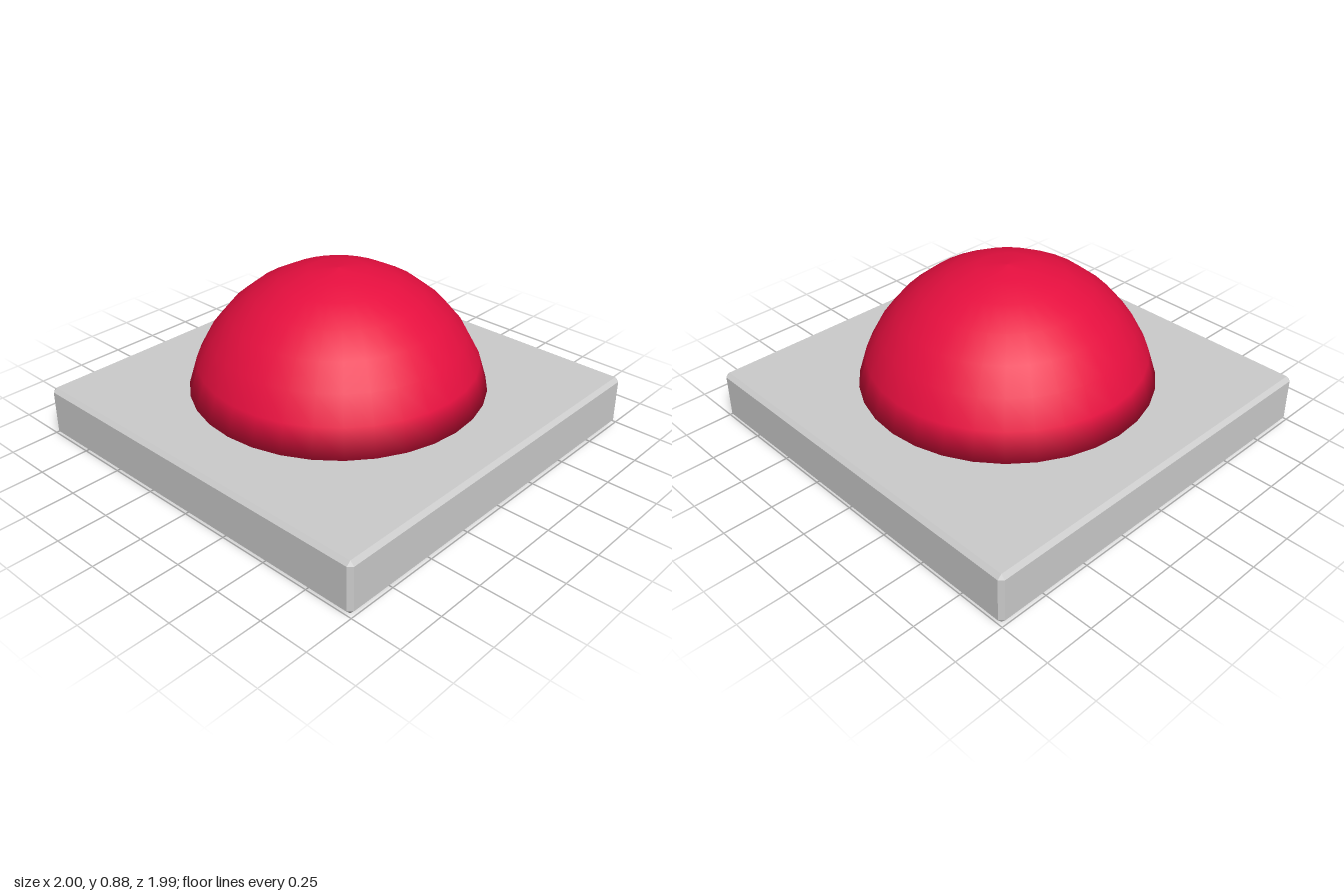
import * as THREE from 'three';
import { ConvexGeometry } from 'three/addons/geometries/ConvexGeometry.js';

// Box with flat chamfers along every edge
function chamferedBox(w, h, d, c) {
  const points = [];
  for (const sx of [-1, 1]) for (const sy of [-1, 1]) for (const sz of [-1, 1]) {
    const x = w / 2, y = h / 2, z = d / 2;
    points.push(
      new THREE.Vector3(sx * x, sy * (y - c), sz * (z - c)),
      new THREE.Vector3(sx * (x - c), sy * y, sz * (z - c)),
      new THREE.Vector3(sx * (x - c), sy * (y - c), sz * z),
    );
  }
  return new ConvexGeometry(points);
}

// Closed spherical cap, smooth even around the bottom rim
function domeGeometry(radius, rings, step, segments) {
  const rimAngle = rings * step;
  const profile = [new THREE.Vector2(0, radius * Math.cos(rimAngle))];
  for (let i = rings; i >= 0; i--) {
    profile.push(new THREE.Vector2(i ? radius * Math.sin(i * step) : 0, radius * Math.cos(i * step)));
  }
  const geometry = new THREE.LatheGeometry(profile, segments);

  // Rim normals lean halfway between the wall and the underside
  const { position, normal } = geometry.attributes;
  for (let i = 1; i < position.count; i += profile.length) {
    const n = new THREE.Vector3(position.getX(i), 0, position.getZ(i)).setLength(0.8);
    normal.setXYZ(i, n.x, -0.6, n.z);
  }
  return geometry;
}

export function createModel() {
  const model = new THREE.Group();
  model.name = 'pushButton';

  // Square base plate
  const base = new THREE.Mesh(
    chamferedBox(2, 0.26, 1.99, 0.02),
    new THREE.MeshStandardMaterial({ color: 0xcccccc, flatShading: true }),
  );
  base.name = 'base';
  base.position.y = 0.13;

  // Red dome hovering just above the plate
  const dome = new THREE.Mesh(
    domeGeometry(0.744, 7, Math.PI / 16, 32),
    new THREE.MeshStandardMaterial({ color: 0xe60f3f }),
  );
  dome.name = 'dome';
  dome.position.y = 0.134;

  model.add(base, dome);
  return model;
}
